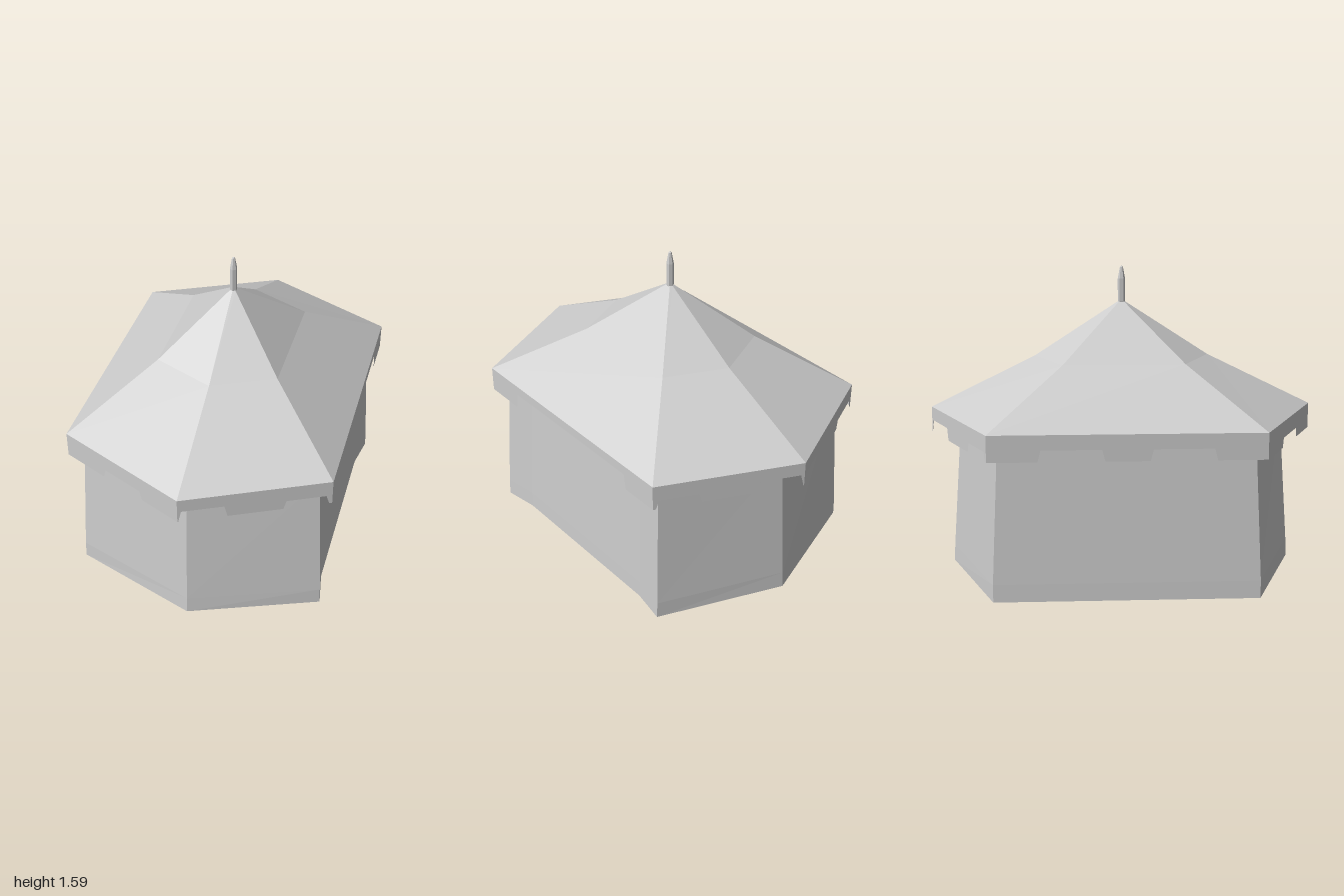
import * as THREE from 'three';

const material = new THREE.MeshStandardMaterial({ color: 0xcccccc, flatShading: true, side: THREE.DoubleSide });

function part(name, geometry) {
  const mesh = new THREE.Mesh(geometry, material);
  mesh.name = name;
  return mesh;
}

// Skin a stack of closed rings (each a list of [x, y, z]); optionally close the top
function loft(rings, capTop = false) {
  const n = rings[0].length;
  const pos = rings.flat(2);
  const index = [];
  for (let r = 0; r < rings.length - 1; r++) {
    for (let i = 0; i < n; i++) {
      const a = r * n + i, b = r * n + (i + 1) % n;
      index.push(a, b, b + n, a, b + n, a + n);
    }
  }
  if (capTop) {
    const top = (rings.length - 1) * n;
    for (let i = 1; i < n - 1; i++) index.push(top, top + i, top + i + 1);
  }
  const g = new THREE.BufferGeometry();
  g.setAttribute('position', new THREE.Float32BufferAttribute(pos, 3));
  g.setIndex(index);
  const flat = g.toNonIndexed();
  flat.computeVertexNormals();
  return flat;
}

// Stretched hexagon, counter-clockwise seen from above, starting at the front point
const hexagon = (w, c, d) => [[0, d], [w, c], [w, -c], [0, -d], [-w, -c], [-w, c]];
const ring = (points, y) => points.map(([x, z]) => [x, y, z]);

// Wall outline with a shallow recessed doorway on the left side
function wallRing(w, c, d, doorHalf, y) {
  const p = hexagon(w, c, d);
  p.splice(2, 0, [w - 0.03, doorHalf], [w - 0.03, -doorHalf]);
  return ring(p, y);
}

// Hanging strip between two eave corners; notches are [start, end, top] along its length
function valancePanel(a, b, notches) {
  const top = 0.85, low = 0.717;
  const dx = b[0] - a[0], dz = b[1] - a[1], length = Math.hypot(dx, dz);
  const slant = 0.015;
  const s = new THREE.Shape();
  s.moveTo(0, top);
  s.lineTo(0, low);
  for (const [start, end, y] of notches) {
    s.lineTo(start * length, low);
    s.lineTo(start * length + slant, y);
    s.lineTo(end * length - slant, y);
    s.lineTo(end * length, low);
  }
  s.lineTo(length, low);
  s.lineTo(length, top);
  const g = new THREE.ShapeGeometry(s);
  g.rotateY(-Math.atan2(dz, dx));
  g.translate(a[0], 0, a[1]);
  return g;
}

export function createModel() {
  const group = new THREE.Group();
  group.name = 'tentPavilion';

  // Canvas walls: upright foot band, then leaning inward, closed by a flat ceiling
  group.add(part('walls', loft([
    wallRing(0.643, 0.66, 0.905, 0.48, 0),
    wallRing(0.64, 0.66, 0.9, 0.48, 0.09),
    wallRing(0.603, 0.627, 0.848, 0.455, 0.8),
  ], true)));

  // Roof with a concave break halfway up
  const eave = hexagon(0.676, 0.676, 1);
  group.add(part('roof', loft([
    ring(eave, 0.85),
    ring(hexagon(0.308, 0.308, 0.452), 1.12),
    ring(hexagon(0.014, 0.014, 0.02), 1.4),
  ], true)));

  // Notched valance around the eave
  const fromPoint = [[0.005, 0.32, 0.78], [0.68, 0.98, 0.765]];
  const fromCorner = fromPoint.map(([s, e, y]) => [1 - e, 1 - s, y]).reverse();
  const panels = [
    fromPoint,                                     // front left
    [[0.165, 0.85, 0.8]],                          // left, over the doorway
    fromCorner,                                    // back left
    fromPoint,                                     // back right
    [[0.18, 0.42, 0.775], [0.58, 0.82, 0.775]],    // right
    [[0.34, 0.69, 0.765]],                         // front right
  ];
  const valance = new THREE.Group();
  valance.name = 'valance';
  panels.forEach((notches, i) => {
    valance.add(part('valancePanel', valancePanel(eave[i], eave[(i + 1) % 6], notches)));
  });
  group.add(valance);

  // Pole tip
  const profile = [[0.014, 1.38], [0.019, 1.4], [0.019, 1.52], [0.008, 1.58], [0, 1.587]];
  group.add(part('poleTip', new THREE.LatheGeometry(profile.map(([r, y]) => new THREE.Vector2(r, y)), 6)));

  return group;
}
